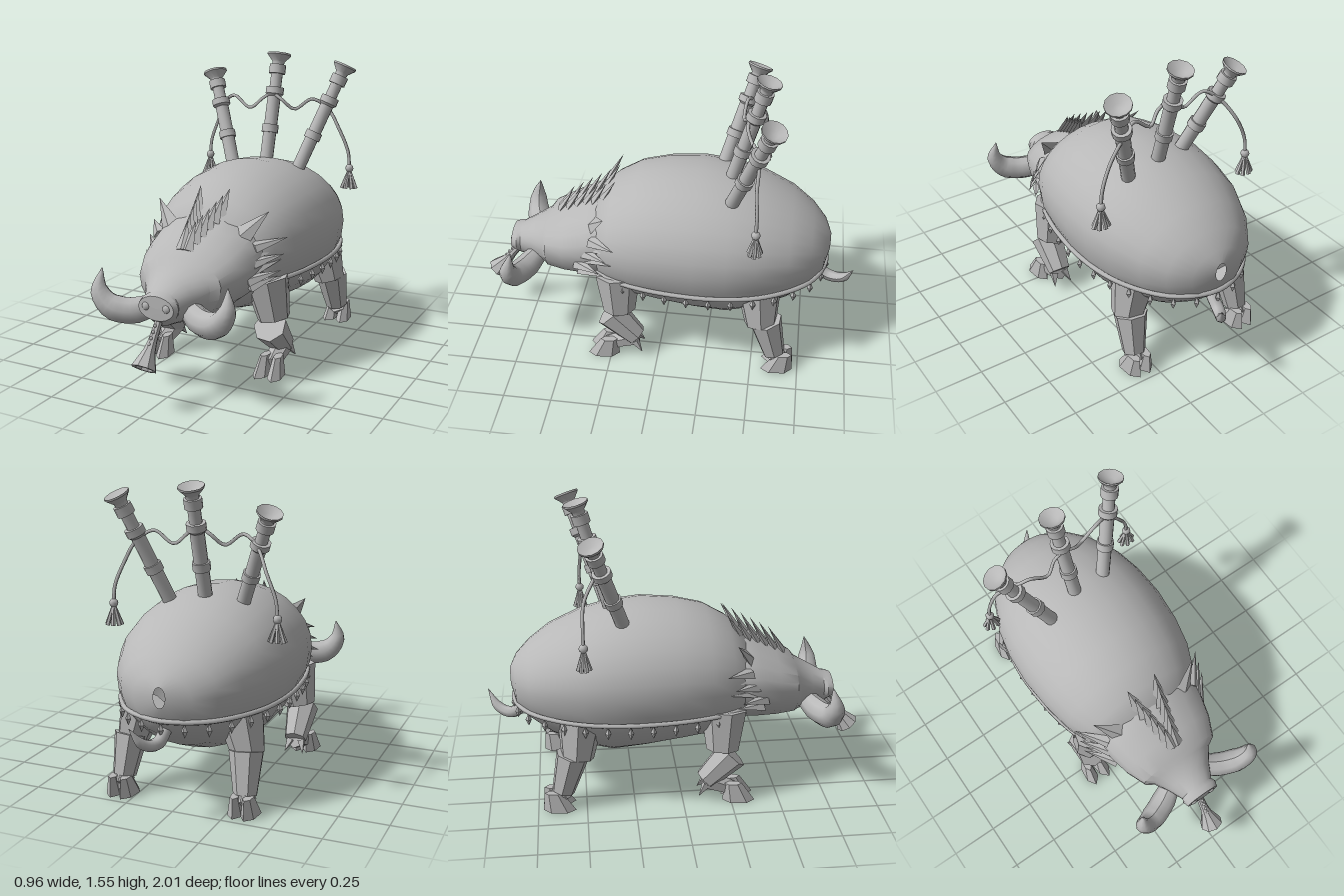
import * as THREE from 'three';
import { toCreasedNormals } from 'three/addons/utils/BufferGeometryUtils.js';

const grey = new THREE.MeshStandardMaterial({ color: 0xb8b8b8, side: THREE.DoubleSide });
grey.name = 'plain grey';
const V = (x, y, z) => new THREE.Vector3(x, y, z);
const UP = V(0, 1, 0);

// body sections: z, height of widest point, half width, top, bottom
const BODY = [
  [-0.87, 0.61, 0.03, 0.66, 0.56], [-0.84, 0.60, 0.15, 0.72, 0.46], [-0.77, 0.61, 0.25, 0.79, 0.39],
  [-0.66, 0.62, 0.33, 0.87, 0.31], [-0.5, 0.63, 0.40, 0.94, 0.24], [-0.35, 0.63, 0.43, 0.98, 0.205],
  [-0.18, 0.63, 0.44, 1.0, 0.225], [0, 0.63, 0.425, 0.985, 0.25], [0.15, 0.62, 0.395, 0.95, 0.27],
  [0.27, 0.61, 0.345, 0.88, 0.30], [0.36, 0.59, 0.28, 0.80, 0.35], [0.4, 0.57, 0.12, 0.68, 0.44]];
const HEAD = [
  [0.2, 0.6, 0.28, 0.84, 0.37], [0.32, 0.6, 0.31, 0.82, 0.355], [0.42, 0.59, 0.295, 0.775, 0.345],
  [0.52, 0.57, 0.27, 0.72, 0.345], [0.62, 0.55, 0.225, 0.665, 0.35], [0.645, 0.53, 0.18, 0.635, 0.355],
  [0.72, 0.5, 0.13, 0.595, 0.37], [0.79, 0.48, 0.095, 0.555, 0.38], [0.81, 0.48, 0.105, 0.55, 0.4],
  [0.84, 0.48, 0.095, 0.54, 0.42], [0.842, 0.48, 0.001, 0.481, 0.479]];

// skin elliptical cross-sections set along z
function loft(sections, n) {
  const pos = [], idx = [];
  sections.forEach(([z, cy, w, top, bot], i) => {
    for (let j = 0; j < n; j++) {
      const a = j / n * Math.PI * 2, s = Math.sin(a);
      pos.push(w * Math.cos(a), cy + s * (s > 0 ? top - cy : cy - bot), z);
      if (i === sections.length - 1) continue;
      const p = i * n + j, q = i * n + (j + 1) % n;
      idx.push(p, q, q + n, p, q + n, p + n);
    }
  });
  const g = new THREE.BufferGeometry();
  g.setAttribute('position', new THREE.Float32BufferAttribute(pos, 3));
  g.setIndex(idx);
  g.computeVertexNormals();
  return g;
}

// half width of the body at a given z and y (below the widest point)
function bodyHalfWidth(z, y) {
  const i = Math.max(1, BODY.findIndex(s => s[0] >= z));
  const [a, b] = [BODY[i - 1], BODY[i]], t = (z - a[0]) / (b[0] - a[0]);
  const [, cy, w, , bot] = a.map((v, k) => v + (b[k] - v) * t);
  return w * Math.sqrt(Math.max(0, 1 - ((cy - y) / (cy - bot)) ** 2));
}

// tube whose radius follows a list of values
function taperedTube(points, radii, sides = 8, segs = 16) {
  const curve = new THREE.CatmullRomCurve3(points);
  const g = new THREE.TubeGeometry(curve, segs, 1, sides), p = g.attributes.position, v = V();
  for (let i = 0; i < p.count; i++) {
    const t = Math.floor(i / (sides + 1)) / segs, c = curve.getPointAt(t);
    const f = t * (radii.length - 1), k = Math.min(Math.floor(f), radii.length - 2);
    const r = radii[k] + (radii[k + 1] - radii[k]) * (f - k);
    v.fromBufferAttribute(p, i).sub(c).multiplyScalar(r).add(c);
    p.setXYZ(i, v.x, v.y, v.z);
  }
  g.computeVertexNormals();
  return g;
}

export function createModel() {
  const model = new THREE.Group();
  model.name = 'bagpipeBoar';
  const add = (geo, name, parent = model) => {
    const m = new THREE.Mesh(geo, grey);
    m.name = name;
    parent.add(m);
    return m;
  };
  // aim a y-axis geometry (base at y = 0) from a towards b
  const aim = (geo, name, a, b, parent) => {
    const m = add(geo, name, parent);
    m.position.copy(a);
    m.quaternion.setFromUnitVectors(UP, b.clone().sub(a).normalize());
    return m;
  };
  // faceted segment between two points
  const segment = (name, a, b, ra, rb, sides = 7, flat = 1, parent) => {
    const L = a.distanceTo(b);
    const g = new THREE.CylinderGeometry(rb, ra, L, sides).translate(0, L / 2, 0).scale(1, 1, flat);
    return aim(toCreasedNormals(g, 0.4), name, a, b, parent);
  };
  const spike = (name, a, b, r, flat) => segment(name, a, b, r, 0.001, 4, flat);

  add(loft(BODY, 28), 'bagBody');
  add(toCreasedNormals(loft(HEAD, 20), 0.6), 'head');

  // trim band round the body with hanging drops
  const zs = [0.33, 0.22, 0.08, -0.1, -0.3, -0.5, -0.66, -0.77, -0.83];
  const side = s => zs.map(z => V(s * (bodyHalfWidth(z, 0.495) + 0.008), 0.495, z));
  const bandCurve = new THREE.CatmullRomCurve3([...side(1), V(0, 0.495, -0.86), ...side(-1).reverse()]);
  add(new THREE.TubeGeometry(bandCurve, 70, 0.013, 6), 'trimBand');
  for (let i = 0; i < 25; i++) {
    const drop = add(new THREE.OctahedronGeometry(1), 'trimDrop');
    drop.scale.set(0.016, 0.035, 0.016);
    drop.position.copy(bandCurve.getPointAt((i + 0.5) / 25));
    drop.position.y = 0.453;
  }

  for (const s of [1, -1]) {
    // tusks
    add(taperedTube([V(s * 0.08, 0.45, 0.68), V(s * 0.19, 0.41, 0.74), V(s * 0.29, 0.43, 0.78),
      V(s * 0.345, 0.5, 0.79), V(s * 0.34, 0.61, 0.77)], [0.05, 0.065, 0.065, 0.045, 0.002], 9), 'tusk');
    // nostrils
    const nostril = add(new THREE.SphereGeometry(0.02, 8, 6), 'nostril');
    nostril.position.set(s * 0.055, 0.485, 0.84);
    nostril.scale.z = 0.5;
    // ears
    spike('ear', V(s * 0.2, 0.73, 0.36), V(s * 0.31, 0.85, 0.28), 0.055, 0.4);
    // crest blades
    for (let i = 0; i < 6; i++) {
      const t = i / 5, x = s * (0.012 + 0.05 * t), z = 0.57 - 0.24 * t, y = 0.69 + 0.12 * t;
      spike('crestBlade', V(x, y, z), V(x + s * (0.01 + 0.01 * t), y + 0.125, z - 0.075), 0.038, 0.45);
    }
    // cheek spikes in two staggered rows
    for (let i = 0; i < 6; i++) {
      const y = 0.5 + 0.037 * i, z = 0.42 - 0.02 * i + (i % 2) * 0.04;
      spike('cheekSpike', V(s * 0.27, y, z), V(s * (0.36 + (i % 2) * 0.025), y + 0.03, z - 0.14), 0.035, 0.45);
    }
    // legs: joints from hip to ankle, then a cloven hoof
    const legs = [
      ['front', [V(0.27, 0.49, 0.22), V(0.31, 0.28, 0.21)], [V(0.31, 0.25, 0.26), V(0.32, 0.11, 0.12)], V(0.325, 0, 0.28)],
      ['hind', [V(0.26, 0.46, -0.52), V(0.31, 0.27, -0.54)], [V(0.31, 0.29, -0.565), V(0.325, 0.09, -0.62)], V(0.325, 0, -0.65)]];
    for (const [name, thigh, shin, foot] of legs) {
      const leg = new THREE.Group();
      leg.name = name + 'Leg';
      model.add(leg);
      const m = p => V(p.x * s, p.y, p.z);
      segment('thigh', m(thigh[0]), m(thigh[1]), 0.12, 0.085, 7, 1, leg);
      segment('shin', m(shin[0]), m(shin[1]), 0.088, 0.06, 7, 1, leg);
      segment('ankle', m(shin[1]), m(V(foot.x, 0.05, foot.z - 0.01)), 0.055, 0.04, 6, 1, leg);
      for (const k of [-1, 1]) {
        const toe = add(toCreasedNormals(new THREE.CylinderGeometry(0.022, 0.04, 0.1, 6).scale(1, 1, 2.1), 0.4), 'hoof', leg);
        const p = toe.geometry.attributes.position;
        for (let i = 0; i < p.count; i++) if (p.getY(i) > 0) p.setZ(i, p.getZ(i) - 0.03);
        toe.geometry.computeVertexNormals();
        toe.position.set(s * foot.x + k * 0.037, 0.05, foot.z + 0.01);
        toe.rotation.y = k * 0.1;
        spike('dewClaw', V(s * foot.x + k * 0.03, 0.1, shin[1].z), V(s * foot.x + k * 0.05, 0.045, shin[1].z - 0.04), 0.025, 1);
      }
    }
  }

  // tail
  add(taperedTube([V(0, 0.44, -0.8), V(0.01, 0.39, -0.88), V(0.05, 0.41, -0.95), V(0.09, 0.495, -1)],
    [0.03, 0.032, 0.025, 0.001], 7), 'tail');

  // chanter in the mouth, with finger studs
  const mouth = V(0, 0.43, 0.8), bell = V(0, 0.225, 0.955);
  const L = mouth.distanceTo(bell);
  const chanter = [[0.018, 0], [0.022, 0.12], [0.03, 0.17], [0.062, L], [0.045, L], [0.015, L - 0.05], [0, L - 0.05]];
  aim(toCreasedNormals(new THREE.LatheGeometry(chanter.map(p => new THREE.Vector2(...p)), 8), 0.6), 'chanter', mouth, bell);
  for (let i = 0; i < 4; i++) {
    const stud = add(new THREE.SphereGeometry(0.009, 6, 5), 'chanterStud');
    stud.position.lerpVectors(mouth, bell, 0.22 + i * 0.12).add(V(0, 0.015, 0.015));
  }

  // drone pipes with collars and flared mouths
  const drones = [[V(-0.17, 0.92, -0.28), V(-0.37, 1.42, -0.44)], [V(0, 0.93, -0.33), V(0, 1.53, -0.5)],
    [V(0.18, 0.92, -0.35), V(0.37, 1.48, -0.545)]];
  for (const [a, b] of drones) {
    const H = a.distanceTo(b), r = 0.036, c = 0.045;
    const prof = [[r, 0], [r, H * 0.3], [c, H * 0.3], [c, H * 0.37], [r, H * 0.37], [r, H * 0.62], [c + 0.004, H * 0.64],
      [c + 0.004, H * 0.7], [0.032, H * 0.7], [0.032, H * 0.82], [c, H * 0.82], [c, H * 0.9], [0.032, H * 0.9],
      [0.034, H - 0.045], [0.065, H - 0.01], [0.065, H], [0.025, H - 0.025], [0, H - 0.025]];
    aim(toCreasedNormals(new THREE.LatheGeometry(prof.map(p => new THREE.Vector2(...p)), 12), 0.6), 'dronePipe', a, b);
  }

  // cords draped between the pipes, ending in tassels
  for (const s of [1, -1]) {
    const dz = s > 0 ? -0.03 : 0.03;
    const pts = [V(0, 1.33, -0.41), V(s * 0.06, 1.29, -0.41), V(s * 0.12, 1.24, -0.41 + dz), V(s * 0.22, 1.3, -0.42 + dz),
      V(s * 0.3, 1.25, -0.45 + dz), V(s * 0.37, 1.14, -0.48), V(s * 0.42, 1.02, -0.49), V(s * 0.43, 0.93, -0.49)];
    add(new THREE.TubeGeometry(new THREE.CatmullRomCurve3(pts), 40, 0.009, 6), 'cord');
    const knot = add(new THREE.SphereGeometry(0.023, 8, 6), 'tasselKnot');
    knot.position.copy(pts[7]);
    for (let i = 0; i < 7; i++) {
      const a = i / 7 * Math.PI * 2;
      segment('tasselStrand', pts[7], V(s * 0.43 + 0.04 * Math.cos(a), 0.82, -0.49 + 0.03 * Math.sin(a)), 0.006, 0.012, 5);
    }
  }
  return model;
}
